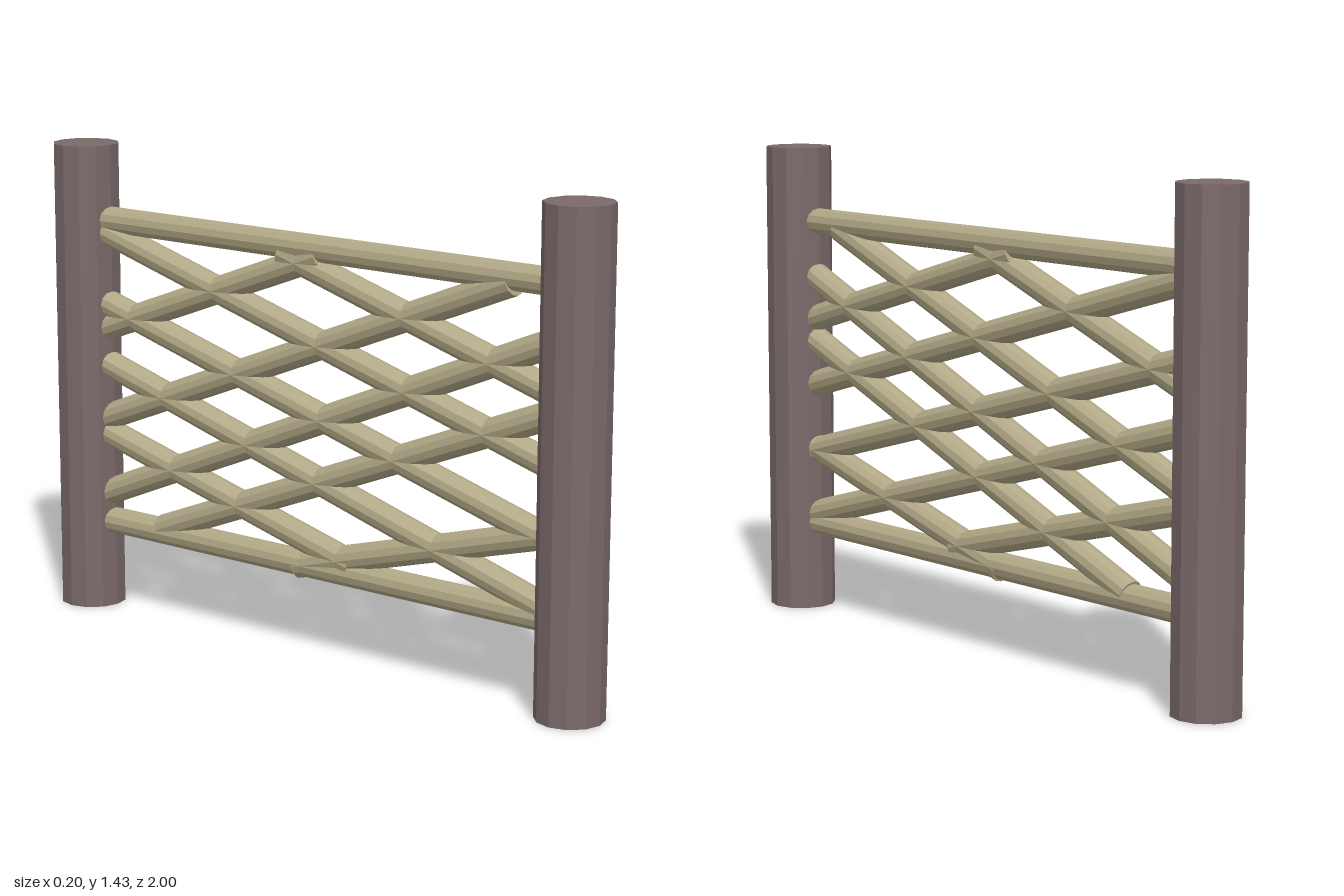
import * as THREE from 'three';

const SIDES = 12;
const STICK_RADIUS = 0.04;

export function createModel() {
  const model = new THREE.Group();
  model.name = 'latticeFence';
  const darkWood = new THREE.MeshStandardMaterial({ color: 0x7a6969, flatShading: true });
  const paleWood = new THREE.MeshStandardMaterial({ color: 0xb0a785, flatShading: true });

  // Round stick between two [z, y] points in the plane of the fence
  function addStick(name, [z1, y1], [z2, y2]) {
    const from = new THREE.Vector3(0, y1, z1);
    const to = new THREE.Vector3(0, y2, z2);
    const dir = to.clone().sub(from);
    const geometry = new THREE.CylinderGeometry(STICK_RADIUS, STICK_RADIUS, dir.length(), SIDES);
    const stick = new THREE.Mesh(geometry, paleWood);
    stick.name = name;
    stick.position.copy(from).add(to).multiplyScalar(0.5);
    stick.quaternion.setFromUnitVectors(new THREE.Vector3(0, 1, 0), dir.normalize());
    model.add(stick);
  }

  // Upright posts at both ends
  const postHeight = 1.43;
  for (const [name, z] of [['frontPost', 0.9], ['backPost', -0.9]]) {
    const post = new THREE.Mesh(new THREE.CylinderGeometry(0.1, 0.1, postHeight, SIDES), darkWood);
    post.name = name;
    post.position.set(0, postHeight / 2, z);
    model.add(post);
  }

  // Horizontal rails
  addStick('topRail', [0.84, 1.205], [-0.84, 1.205]);
  addStick('bottomRail', [0.84, 0.27], [-0.84, 0.27]);

  // Lattice sticks that rise towards the back
  const rising = [
    [[0.84, 0.9], [-0.12, 1.18]],
    [[0.84, 0.697], [-0.84, 1.174]],
    [[0.84, 0.488], [-0.84, 0.955]],
    [[0.84, 0.29], [-0.84, 0.768]],
    [[0.14, 0.297], [-0.84, 0.553]],
  ];
  rising.forEach(([a, b], i) => addStick(`risingStick${i + 1}`, a, b));

  // Lattice sticks that fall towards the back
  const falling = [
    [[0.02, 1.187], [-0.84, 0.866]],
    [[0.69, 1.19], [-0.84, 0.587]],
    [[0.84, 1.047], [-0.84, 0.35]],
    [[0.84, 0.849], [-0.6, 0.28]],
    [[0.84, 0.512], [-0.065, 0.262]],
  ];
  falling.forEach(([a, b], i) => addStick(`fallingStick${i + 1}`, a, b));

  return model;
}
